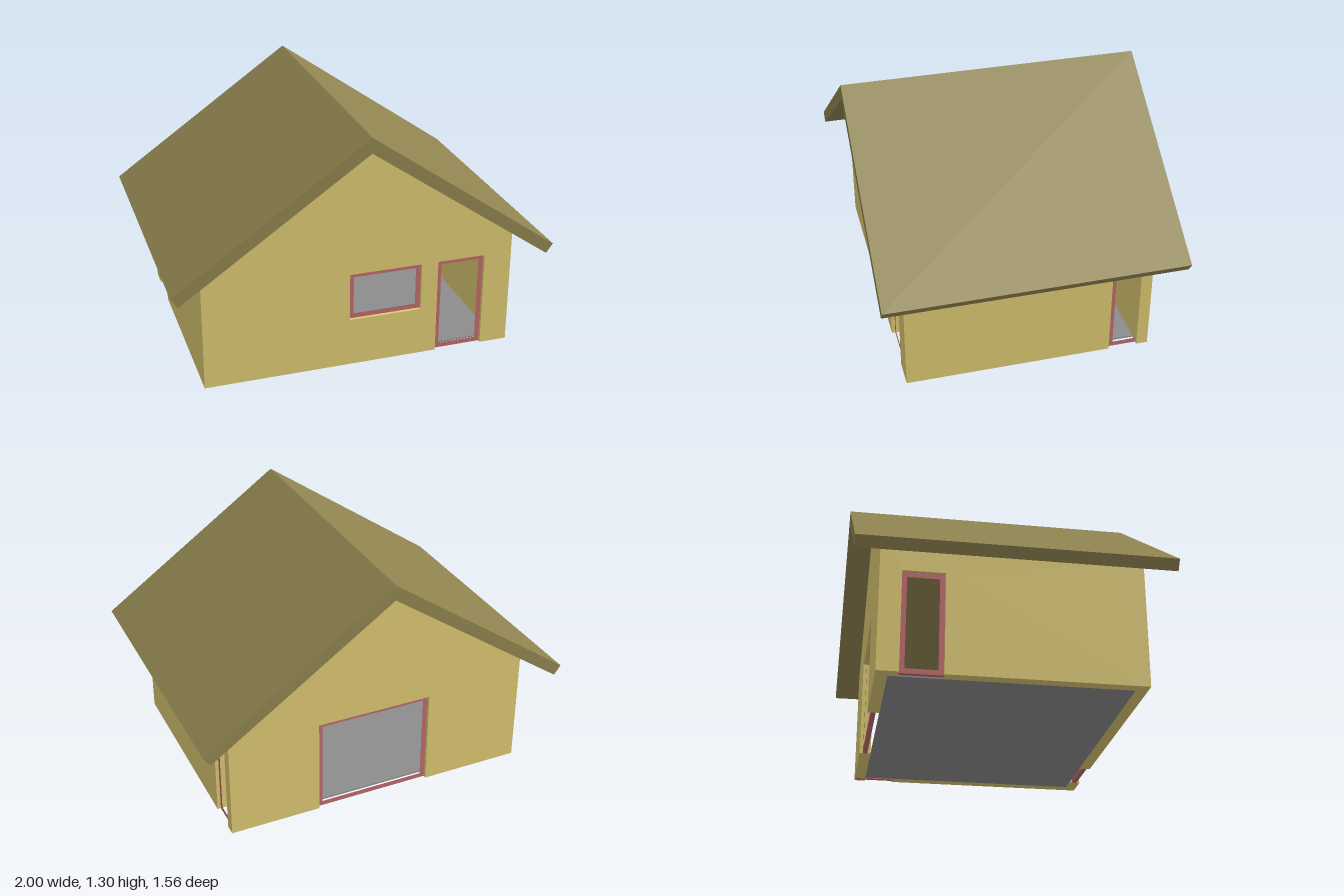
import * as THREE from 'three';

const W = 0.83, D = 0.65, T = 0.06;   // half width, half depth, wall thickness
const EAVE = 0.649, RIDGE = 1.225;    // wall heights under the roof
const BAR = 0.026, FRAME_DEPTH = 0.024;

const paint = (color) => new THREE.MeshStandardMaterial({ color });
const wallMat = paint(0xdcc873), roofMat = paint(0x908450);
const frameMat = paint(0xbf6a6c), floorMat = paint(0x8c8c8c);

const toPoints = (list) => list.map(([x, y]) => new THREE.Vector2(x, y));
const rect = ([x0, x1, y0, y1]) => toPoints([[x0, y0], [x0, y1], [x1, y1], [x1, y0]]);

function extrude(name, outline, holes, depth, material) {
  const shape = new THREE.Shape(outline);
  for (const hole of holes) shape.holes.push(new THREE.Path(hole));
  const geometry = new THREE.ExtrudeGeometry(shape, { depth, bevelEnabled: false });
  const mesh = new THREE.Mesh(geometry, material);
  mesh.name = name;
  return mesh;
}

// A wall with its recessed frames; openings are [x0, x1, y0, y1]
function wall(name, outline, notches, windows) {
  const group = new THREE.Group();
  group.name = name;
  group.add(extrude(name + 'Panel', toPoints(outline), windows.map(rect), T, wallMat));
  for (const o of [...notches, ...windows]) {
    const [x0, x1, y0, y1] = o;
    const inner = rect([x0 + BAR, x1 - BAR, y0 + BAR, y1 - BAR]);
    const frame = extrude(y0 === 0 ? 'doorFrame' : 'windowFrame', rect(o), [inner], FRAME_DEPTH, frameMat);
    frame.position.z = (T - FRAME_DEPTH) / 2;
    group.add(frame);
  }
  return group;
}

// Outline points of a floor-level opening, walked from left to right
const notch = ([x0, x1, , y1]) => [[x0, 0], [x0, y1], [x1, y1], [x1, 0]];

export function createModel() {
  const house = new THREE.Group();
  house.name = 'house';

  // Gable walls
  const gable = (name, door, windows, z) => {
    const outline = [[-W, 0], ...notch(door), [W, 0], [W, EAVE], [0, RIDGE], [-W, EAVE]];
    const g = wall(name, outline, [door], windows);
    g.position.z = z;
    house.add(g);
  };
  gable('frontWall', [0.42, 0.68, 0, 0.523], [[-0.06, 0.33, 0.262, 0.523]], D - T);
  gable('backWall', [-0.285, 0.343, 0, 0.523], [], -D);

  // Side walls run between the gables; local x becomes z
  const e = D - T, top = EAVE + 0.01;
  const side = (name, outline, door, x) => {
    const g = wall(name, outline, [door], []);
    g.rotation.y = -Math.PI / 2;
    g.position.x = x;
    house.add(g);
  };
  const leftDoor = [-0.645, -0.435, 0, 0.523], rightDoor = [-0.542, -0.332, 0, 0.523];
  // The left opening reaches right up to the back wall
  side('leftWall', [[-e, 0.523], [-0.435, 0.523], [-0.435, 0], [e, 0], [e, top], [-e, top]], leftDoor, W);
  side('rightWall', [[-e, 0], ...notch(rightDoor), [e, 0], [e, top], [-e, top]], rightDoor, T - W);

  // Floor slab
  const floor = new THREE.Mesh(new THREE.BoxGeometry(2 * (W - T), 0.008, 2 * e), floorMat);
  floor.name = 'floor';
  floor.position.y = 0.004;
  house.add(floor);

  // Pitched roof
  const profile = [[0, 1.305], [-1, 0.605], [-0.965, 0.555], [0, RIDGE], [0.965, 0.555], [1, 0.605]];
  const roof = extrude('roof', toPoints(profile), [], 1.56, roofMat);
  roof.position.z = -0.78;
  house.add(roof);

  return house;
}
